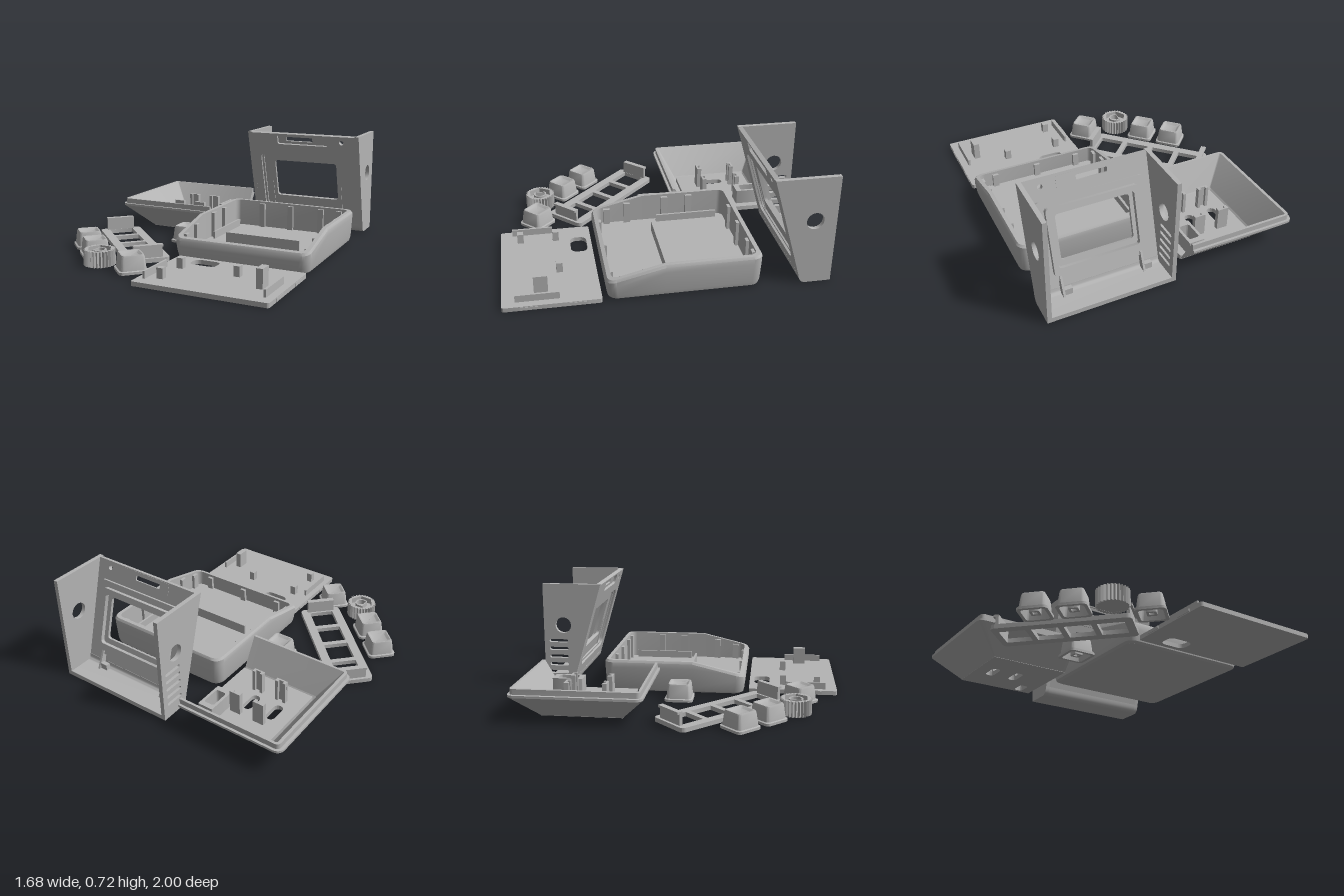
import * as THREE from 'three';
import { toCreasedNormals } from 'three/addons/utils/BufferGeometryUtils.js';

const grey = new THREE.MeshStandardMaterial({ color: 0xb4b4b4, side: THREE.DoubleSide });
grey.name = 'plain grey';

function add(parent, name, geo, x = 0, y = 0, z = 0) {
  const m = new THREE.Mesh(geo, grey);
  m.name = name;
  m.position.set(x, y, z);
  parent.add(m);
  return m;
}
// box standing on height y
const block = (p, name, w, h, d, x, y, z) => add(p, name, new THREE.BoxGeometry(w, h, d), x, y + h / 2, z);

// rounded rectangle outline
function rrect(cx, cy, w, h, r) {
  const s = new THREE.Shape(), a = w / 2, b = h / 2;
  s.absarc(cx + a - r, cy + b - r, r, 0, Math.PI / 2);
  s.absarc(cx - a + r, cy + b - r, r, Math.PI / 2, Math.PI);
  s.absarc(cx - a + r, cy - b + r, r, Math.PI, Math.PI * 1.5);
  s.absarc(cx + a - r, cy - b + r, r, Math.PI * 1.5, Math.PI * 2);
  s.closePath();
  return s;
}
const circle = (x, y, r) => new THREE.Shape().absarc(x, y, r, 0, Math.PI * 2);
function extrude(shape, depth, holes = []) {
  shape.holes.push(...holes);
  return toCreasedNormals(new THREE.ExtrudeGeometry(shape, { depth, bevelEnabled: false, curveSegments: 8 }), 0.5);
}
// slab lying flat: the shape is drawn in x and -z
const slab = (shape, depth, holes) => extrude(shape, depth, holes).rotateX(-Math.PI / 2);
// panel facing sideways: the shape is drawn in -z and y
const panel = (shape, depth, holes) => extrude(shape, depth, holes).rotateY(Math.PI / 2);

// skin over rings of [x, y, z] points
function loft(rings, closed = true) {
  const n = rings[0].length, idx = [];
  for (let i = 0; i < rings.length - 1; i++)
    for (let j = 0; j < (closed ? n : n - 1); j++) {
      const a = i * n + j, b = i * n + (j + 1) % n;
      idx.push(a, a + n, b, b, a + n, b + n);
    }
  const g = new THREE.BufferGeometry();
  g.setAttribute('position', new THREE.Float32BufferAttribute(rings.flat(2), 3));
  g.setIndex(idx);
  return toCreasedNormals(g, 0.6);
}
const arc = (cx, cz, r, from) => Array.from({ length: 6 }, (_, i) => {
  const t = from + i / 5 * Math.PI / 2;
  return [cx + r * Math.cos(t), cz + r * Math.sin(t)];
});
// ring in plan, with optional extra points where the side walls bend
function ring(x0, x1, z0, z1, r, bend) {
  return [
    ...(bend === undefined ? [] : [[x1, bend]]),
    ...arc(x1 - r, z1 - r, r, 0), ...arc(x0 + r, z1 - r, r, Math.PI / 2),
    ...(bend === undefined ? [] : [[x0, bend]]),
    ...arc(x0 + r, z0 + r, r, Math.PI), ...arc(x1 - r, z0 + r, r, Math.PI * 1.5)];
}

function makeBase() {
  const g = new THREE.Group();
  g.name = 'baseBox';
  const top = z => Math.min(0.215, 0.13 + (0.385 - z) * 0.24);
  // inset, height, is the height measured down from the sloping rim, corner radius
  const rows = [[0.03, 0, 0, 0.05], [0.012, 0.01, 0, 0.06], [0.006, 0.035, 0, 0.06], [0, 0.05, 1, 0.06],
    [0, 0.015, 1, 0.06], [0.01, 0, 1, 0.055], [0.035, 0, 1, 0.04], [0.035, 0.03, 0, 0.04]];
  add(g, 'baseShell', loft(rows.map(([i, h, rim, r]) =>
    ring(-0.07 + i, 0.84 - i, -0.57 + i, 0.385 - i, r, 0.03).map(([x, z]) => [x, rim ? top(z) - h : h, z]))));
  add(g, 'baseFloor', slab(rrect(0.385, 0.0925, 0.85, 0.895, 0.05), 0.03));
  for (const x of [0.17, 0.385, 0.61, 0.74]) block(g, 'backClipPost', 0.04, 0.17, 0.025, x, 0.03, -0.527);
  for (const x of [0.09, 0.385, 0.69]) block(g, 'frontClipPost', 0.04, 0.09, 0.025, x, 0.03, 0.343);
  for (const z of [-0.29, -0.12, 0.14, 0.28])
    for (const x of [-0.026, 0.796]) block(g, 'sideClipPost', 0.025, top(z) - 0.045, 0.045, x, 0.03, z);
  for (const x of [0.005, 0.765]) block(g, 'sideRib', 0.014, 0.05, 0.42, x, 0.03, -0.27);
  block(g, 'crossRib', 0.52, 0.07, 0.014, 0.38, 0.03, -0.012);
  return g;
}

function makeBezel() {
  const g = new THREE.Group();
  g.name = 'screenHousing';
  for (const x of [0.015, 0.812]) {
    const s = new THREE.Shape();
    s.moveTo(1, 0); s.lineTo(1, 0.715); s.lineTo(0.6, 0.715); s.lineTo(0.792, 0.06);
    s.quadraticCurveTo(0.80, 0, 0.84, 0); s.closePath();
    const holes = [circle(0.865, 0.43, 0.055)];
    if (x < 0.1) for (let i = 0; i < 5; i++) holes.push(rrect(0.9, 0.1 + i * 0.055, 0.13, 0.022, 0.01));
    add(g, 'sideWall', panel(s, 0.028, holes), x);
  }
  // floor curving up into the front
  const f = new THREE.Shape();
  f.moveTo(1, 0); f.lineTo(0.84, 0); f.quadraticCurveTo(0.80, 0, 0.792, 0.06); f.lineTo(0.822, 0.066);
  f.quadraticCurveTo(0.825, 0.03, 0.85, 0.03); f.lineTo(1, 0.03); f.closePath();
  add(g, 'housingFloor', panel(f, 0.77), 0.042);
  // leaning front wall with its recesses
  const front = new THREE.Group();
  front.name = 'leaningFront';
  front.position.set(0, 0, -0.81);
  front.rotation.x = Math.atan2(0.21, 0.715);
  g.add(front);
  const wall = new THREE.Shape();
  wall.moveTo(0.042, 0.06); wall.lineTo(0.813, 0.06); wall.lineTo(0.813, 0.738); wall.lineTo(0.042, 0.738); wall.closePath();
  add(front, 'frontWall', extrude(wall, 0.028, [
    rrect(0.43, 0.36, 0.66, 0.46, 0.05), rrect(0.4275, 0.693, 0.375, 0.07, 0.015), circle(0.715, 0.693, 0.016)]), 0, 0, -0.028);
  add(front, 'screenSurround', extrude(rrect(0.43, 0.36, 0.7, 0.5, 0.04), 0.02,
    [rrect(0.4275, 0.373, 0.465, 0.285, 0.02)]), 0, 0, -0.046);
  add(front, 'recessStep', extrude(rrect(0.43, 0.36, 0.67, 0.47, 0.05), 0.012,
    [rrect(0.43, 0.36, 0.63, 0.43, 0.04)]), 0, 0, -0.027);
  add(front, 'slotPlate', extrude(rrect(0.4275, 0.693, 0.385, 0.08, 0.01), 0.012,
    [rrect(0.4, 0.693, 0.195, 0.032, 0.006)]), 0, 0, -0.03);
  add(front, 'screenHolder', extrude(rrect(0.43, 0.36, 0.58, 0.42, 0.02), 0.03,
    [rrect(0.43, 0.365, 0.52, 0.34, 0.02)]), 0, 0, -0.074);
  // gussets under the screen
  for (const x of [0.155, 0.675]) {
    const t = new THREE.Shape();
    t.moveTo(0.88, 0.03); t.lineTo(0.82, 0.03); t.lineTo(0.73, 0.35); t.closePath();
    add(g, 'gusset', panel(t, 0.014), x);
  }
  for (const x of [0.13, 0.65]) block(g, 'floorClip', 0.05, 0.04, 0.03, x, 0.03, -0.85);
  return g;
}

function makeTray() {
  const g = new THREE.Group();
  g.name = 'rearCover';
  // wall section: inset and height
  const rows = [[0.19, 0], [0, 0.165], [0, 0.18], [0.02, 0.18], [0.02, 0.215], [0.04, 0.215], [0.17, 0.03]];
  const end = -0.1;
  add(g, 'slopingWalls', loft(rows.map(([i, y]) => {
    const x0 = -0.815 + i, z0 = -1 + i * 0.8, z1 = -0.18 - i * 0.8, r = Math.max(0.008, 0.045 - i);
    return [[end, z1], ...arc(x0 + r, z1 - r, r, Math.PI / 2), ...arc(x0 + r, z0 + r, r, Math.PI), [end, z0]]
      .map(([x, z]) => [x, y, z]);
  }), false));
  // cut faces closing the wall ends
  const cut = edge => new THREE.ShapeGeometry(new THREE.Shape(rows.map(([i, y]) => new THREE.Vector2(edge(i * 0.8), y)))).rotateY(Math.PI / 2);
  add(g, 'backCutFace', cut(i => 1 - i), end);
  add(g, 'frontCutFace', cut(i => 0.18 + i), end);
  add(g, 'coverFloor', slab(rrect(-0.3635, 0.59, 0.527, 0.52, 0.005), 0.03, [
    rrect(-0.51, 0.59, 0.06, 0.14, 0.029), rrect(-0.34, 0.59, 0.06, 0.14, 0.029), rrect(-0.2, 0.775, 0.06, 0.105, 0.018)]));
  for (const x of [-0.48, -0.31]) for (const z of [-0.72, -0.46]) {
    const s = z < -0.6 ? 1 : -1;
    block(g, 'bracketBar', 0.075, 0.15, 0.012, x, 0.03, z);
    for (const d of [-0.027, 0.027]) block(g, 'bracketLeg', 0.02, 0.15, 0.02, x + d, 0.03, z + s * 0.014);
  }
  add(g, 'socketTube', slab(rrect(-0.2, 0.775, 0.105, 0.2, 0.004), 0.1, [rrect(-0.2, 0.775, 0.07, 0.13, 0.015)]), 0, 0.03);
  return g;
}

function makeBottomPlate() {
  const g = new THREE.Group();
  g.name = 'bottomPlate';
  add(g, 'plate', slab(rrect(0.415, -0.705, 0.85, 0.59, 0.015), 0.028, [rrect(0.213, -0.495, 0.175, 0.108, 0.04)]));
  for (const [x, z] of [[0.125, 0.64], [0.5, 0.64], [0.12, 0.87]]) block(g, 'post', 0.04, 0.065, 0.04, x, 0.028, z);
  block(g, 'tallPost', 0.04, 0.118, 0.085, 0.705, 0.028, 0.765);
  for (const x of [0.035, 0.785]) block(g, 'plateRib', 0.014, 0.045, 0.265, x, 0.028, 0.79);
  for (const x of [-0.01, 0.838]) for (const z of [0.55, 0.84]) block(g, 'edgeTab', 0.01, 0.018, 0.11, x, 0.005, z);
  return g;
}

function makeButtonFrame() {
  const g = new THREE.Group();
  g.name = 'buttonFrame';
  g.position.set(-0.448, 0, 0.26);
  g.rotation.y = -Math.PI / 4;
  const holes = [-1.5, -0.5, 0.5, 1.5].map(i => rrect(i * 0.2 - 0.006, 0, 0.165, 0.165, 0.006));
  add(g, 'frame', slab(rrect(0, 0, 0.855, 0.283, 0.03), 0.028, holes));
  for (const s of [-1, 1]) {
    block(g, 'endWall', 0.02, 0.085, 0.19, s * 0.4, 0.028, 0);
    block(g, 'endLip', 0.03, 0.015, 0.19, s * 0.41, 0.098, 0);
  }
  return g;
}

function makeCap(x, z, turn) {
  const g = new THREE.Group();
  g.name = 'buttonCap';
  g.position.set(x, 0, z);
  g.rotation.y = turn;
  // half width and height, from the inside over the rim to the dished top
  const rows = [[0.001, 0.085], [0.062, 0.085], [0.072, 0], [0.092, 0], [0.092, 0.016], [0.082, 0.02],
    [0.073, 0.1], [0.068, 0.112], [0.06, 0.112], [0.045, 0.1], [0.001, 0.097]];
  add(g, 'capShell', loft(rows.map(([h, y]) => ring(-h, h, -h, h, h * 0.3).map(([a, b]) => [a, y, b]))));
  add(g, 'capStem', slab(rrect(0, 0, 0.06, 0.06, 0.008), 0.08, [rrect(0, 0, 0.03, 0.03, 0.004)]), 0, 0.008);
  return g;
}

function makeWheel() {
  const g = new THREE.Group();
  g.name = 'knurledWheel';
  g.position.set(-0.41, 0, 0.715);
  const poly = (n, f) => new THREE.Shape(Array.from({ length: n }, (_, i) => {
    const t = i / n * Math.PI * 2, r = f(i);
    return new THREE.Vector2(r * Math.cos(t), r * Math.sin(t));
  }));
  add(g, 'wheelRim', slab(poly(56, i => (i % 2 ? 0.088 : 0.1)), 0.1, [poly(6, () => 0.08)]));
  add(g, 'wheelFloor', new THREE.CylinderGeometry(0.082, 0.082, 0.06, 24), 0, 0.031);
  const d = r => new THREE.Shape().absarc(0, 0, r, -2.2, 2.2);
  add(g, 'shaftSocket', slab(d(0.045), 0.035, [d(0.034)]), 0, 0.061);
  return g;
}

export function createModel() {
  const model = new THREE.Group();
  model.name = 'consolePartsKit';
  model.add(makeBase(), makeBezel(), makeTray(), makeBottomPlate(), makeButtonFrame(), makeWheel());
  for (const [x, z, turn] of [[-0.187, -0.037, 0], [-0.72, 0.385, Math.PI / 4], [-0.56, 0.545, Math.PI / 4], [-0.162, 0.745, Math.PI / 4]])
    model.add(makeCap(x, z, turn));
  return model;
}
